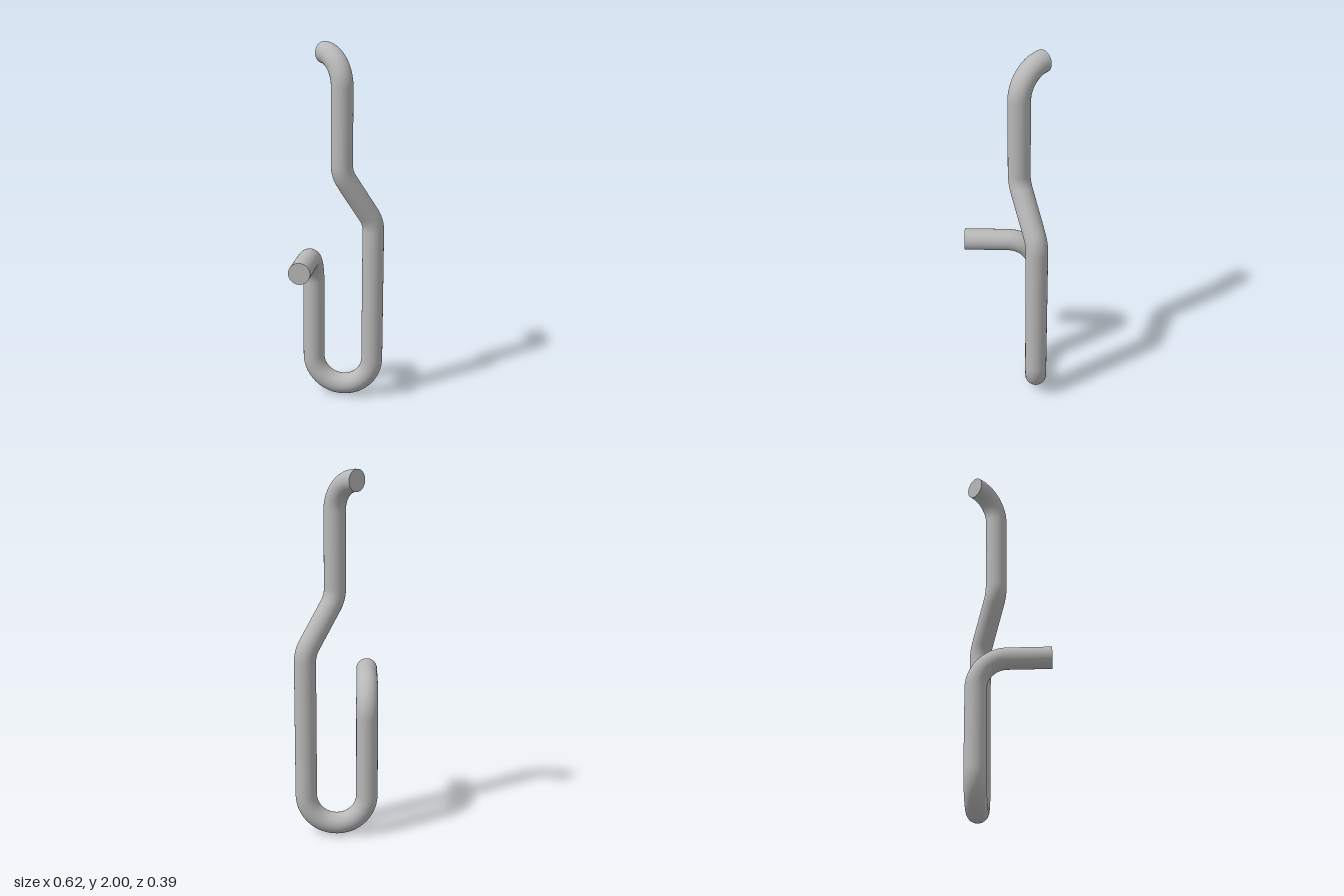
import * as THREE from 'three';

const ROD = 0.059;   // rod radius
const BEND = 0.166;  // centreline bend radius

// Path through corner points, each corner rounded by a circular arc
function bentPath(points) {
  const path = new THREE.CurvePath();
  let last = points[0];
  const lineTo = (p) => {
    if (last.distanceTo(p) > 0.004) path.add(new THREE.LineCurve3(last, p));
  };
  for (let i = 1; i < points.length - 1; i++) {
    const corner = points[i];
    const back = points[i - 1].clone().sub(corner).normalize();
    const ahead = points[i + 1].clone().sub(corner).normalize();
    const turn = Math.PI - back.angleTo(ahead);
    const cut = BEND * Math.tan(turn / 2);
    const handle = cut - (4 / 3) * Math.tan(turn / 4) * BEND;
    const at = (dir, d) => corner.clone().addScaledVector(dir, d);
    const start = at(back, cut), end = at(ahead, cut);
    lineTo(start);
    path.add(new THREE.CubicBezierCurve3(start, at(back, handle), at(ahead, handle), end));
    last = end;
  }
  lineTo(points[points.length - 1]);
  return path;
}

export function createModel() {
  const group = new THREE.Group();
  group.name = 'bentRodHook';
  const steel = new THREE.MeshStandardMaterial({ color: 0xb8b8b8 });
  steel.name = 'grey steel';

  // Corner points from the top tip, down through the loop, to the side arm
  const points = [
    [0.068, 1.941, -0.11],
    [0.068, 1.941, 0.056],
    [0.068, 1.31, 0.056],
    [0.25, 1.025, 0.1],
    [0.25, 0.059, 0.1],
    [0.015, 0.059, -0.136],
    [0.015, 0.836, -0.136],
    [-0.271, 0.836, 0.15],
  ].map((p) => new THREE.Vector3(...p));

  const rod = new THREE.Mesh(new THREE.TubeGeometry(bentPath(points), 260, ROD, 40), steel);
  rod.name = 'rod';
  group.add(rod);

  // Flat cut ends
  const addCap = (name, tip, inner) => {
    const cap = new THREE.Mesh(new THREE.CircleGeometry(ROD, 40), steel);
    cap.name = name;
    cap.position.copy(tip);
    cap.quaternion.setFromUnitVectors(new THREE.Vector3(0, 0, 1), tip.clone().sub(inner).normalize());
    group.add(cap);
  };
  addCap('topEnd', points[0], points[1]);
  addCap('armEnd', points[7], points[6]);

  return group;
}
